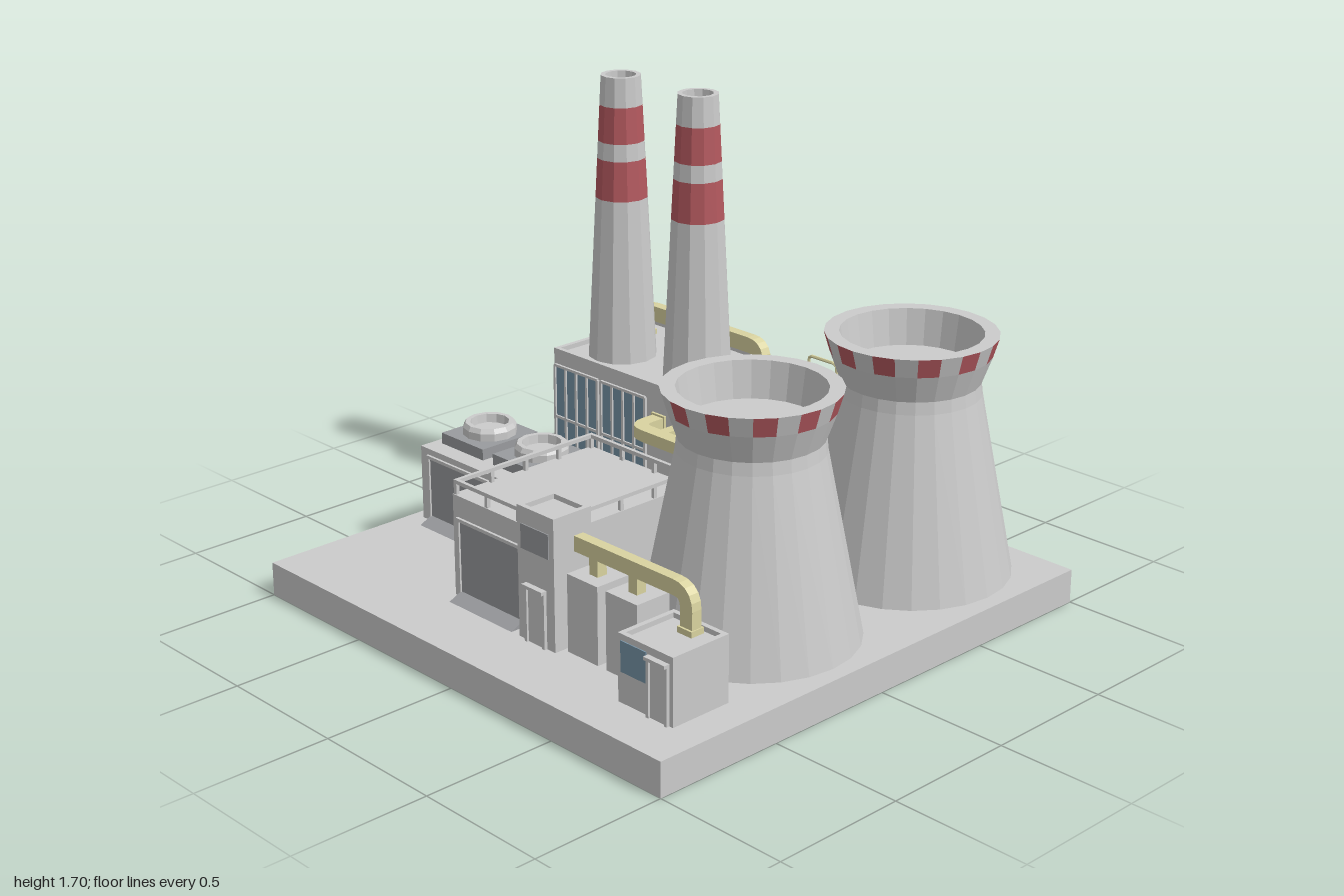
import * as THREE from 'three';

const mat = (color) => new THREE.MeshStandardMaterial({ color, flatShading: true, side: THREE.DoubleSide });
const GREY = mat(0xcccccc), DARK = mat(0x999b9e), LIGHT = mat(0xdedcda);
const RED = mat(0xb4595f), YELLOW = mat(0xd9d3a0), BLUE = mat(0x7895a8);
const GROUND = 0.125;

function add(parent, name, geometry, material = GREY, x = 0, y = 0, z = 0) {
  const m = new THREE.Mesh(geometry, material);
  m.name = name;
  m.position.set(x, y, z);
  parent.add(m);
  return m;
}
function group(parent, name, x = 0, y = 0, z = 0) {
  const g = new THREE.Group();
  g.name = name;
  g.position.set(x, y, z);
  parent.add(g);
  return g;
}
// Box given by its limits on each axis
function box(parent, name, x0, x1, y0, y1, z0, z1, material = GREY) {
  return add(parent, name, new THREE.BoxGeometry(x1 - x0, y1 - y0, z1 - z0), material,
    (x0 + x1) / 2, (y0 + y1) / 2, (z0 + z1) / 2);
}
const lathe = (pts, sides, start = 0, len = Math.PI * 2) =>
  new THREE.LatheGeometry(pts.map(([r, y]) => new THREE.Vector2(r, y)), sides, start, len);

// Building block with a raised rim around a flat roof
function block(parent, name, x0, x1, top, z0, z1, rim = 0.018) {
  const g = group(parent, name);
  box(g, 'walls', x0, x1, GROUND, top - rim, z0, z1);
  for (const [a, b] of [[z0, z0 + rim], [z1 - rim, z1]]) box(g, 'roofRim', x0, x1, top - rim, top, a, b);
  for (const [a, b] of [[x0, x0 + rim], [x1 - rim, x1]]) box(g, 'roofRim', a, b, top - rim, top, z0 + rim, z1 - rim);
  return g;
}

// Square duct along a flat path with rounded corners
function ductGeometry(path, width, depth, radius = 0.05) {
  const p = path.map(([x, y]) => new THREE.Vector2(x, y));
  const line = [p[0]];
  for (let i = 1; i < p.length - 1; i++) {
    const a = p[i - 1].clone().sub(p[i]).setLength(radius).add(p[i]);
    const b = p[i + 1].clone().sub(p[i]).setLength(radius).add(p[i]);
    line.push(...new THREE.QuadraticBezierCurve(a, p[i], b).getPoints(5));
  }
  line.push(p[p.length - 1]);
  const left = [], right = [];
  line.forEach((q, i) => {
    const t = line[Math.min(i + 1, line.length - 1)].clone().sub(line[Math.max(i - 1, 0)]).setLength(width / 2);
    left.push(new THREE.Vector2(q.x - t.y, q.y + t.x));
    right.unshift(new THREE.Vector2(q.x + t.y, q.y - t.x));
  });
  return new THREE.ExtrudeGeometry(new THREE.Shape([...left, ...right]), { depth, bevelEnabled: false })
    .translate(0, 0, -depth / 2);
}

// Glazed bay facing +z, centred on x = 0
function windowBay(parent, x, z, angle, width, y0, y1) {
  const g = group(parent, 'windowBay', x, 0, z);
  g.rotation.y = angle;
  const h = width / 2, t = 0.005, mid = (y0 + y1) / 2;
  box(g, 'glass', -h, h, y0, y1, -0.005, 0.003, BLUE);
  for (let i = 0; i <= 4; i++) {
    const mx = -h + (i * width) / 4;
    box(g, 'mullion', mx - t, mx + t, y0, y1, 0, 0.01);
  }
  for (const y of y1 - y0 > 0.25 ? [y0, mid, y1] : [y0, y1])
    box(g, 'transom', -h, h, y - t, y + t, 0, 0.01);
}

// Door with frame and canopy facing +z
function door(parent, x, z, angle, width, top) {
  const g = group(parent, 'door', x, 0, z), h = width / 2;
  g.rotation.y = angle;
  box(g, 'doorLeaf', -h + 0.012, h - 0.012, GROUND, top - 0.012, -0.005, 0.004, LIGHT);
  for (const s of [-1, 1]) box(g, 'doorFrame', s * (h - 0.006) - 0.006, s * (h - 0.006) + 0.006, GROUND, top, 0, 0.012);
  box(g, 'canopy', -h, h, top - 0.012, top, 0, 0.022);
}

// Roller gate with a low ramp in front
function gate(parent, x0, x1, top, z) {
  const g = group(parent, 'gate');
  box(g, 'gatePanel', x0, x1, GROUND, top, z - 0.01, z + 0.003, DARK);
  box(g, 'gateLintel', x0 - 0.01, x1 + 0.01, top, top + 0.012, z, z + 0.01);
  for (const x of [x0, x1]) box(g, 'gateJamb', x - 0.01, x + 0.005, GROUND, top, z, z + 0.01);
  const wedge = new THREE.Shape([new THREE.Vector2(0, 0), new THREE.Vector2(-0.055, 0), new THREE.Vector2(0, 0.025)]);
  const ramp = add(g, 'ramp', new THREE.ExtrudeGeometry(wedge, { depth: x1 - x0, bevelEnabled: false }), DARK, x0, GROUND, z);
  ramp.rotation.y = Math.PI / 2;
}

function coolingTower(parent, x, z) {
  const g = group(parent, 'coolingTower', x, 0, z), n = 24, step = (Math.PI * 2) / n;
  add(g, 'towerShell', lathe([[0.38, GROUND], [0.25, 0.785], [0.245, 0.83], [0.281, 0.93]], n));
  for (let i = 0; i < n; i++)
    add(g, 'rimPanel', lathe([[0.281, 0.93], [0.302, 1]], 1, i * step, step), i % 2 ? RED : GREY);
  add(g, 'towerMouth', lathe([[0.302, 1], [0.25, 1], [0.23, 0.87], [0, 0.87]], n));
}

function chimney(parent, x, z) {
  const g = group(parent, 'chimney', x, 0, z);
  const y = [0.6, 1.235, 1.385, 1.45, 1.585, 1.695];
  const r = (h) => 0.131 - (h - 0.63) * 0.052;
  for (let i = 0; i < 5; i++)
    add(g, i % 2 ? 'warningBand' : 'shaft', lathe([[r(y[i]), y[i]], [r(y[i + 1]), y[i + 1]]], 12), i % 2 ? RED : GREY);
  add(g, 'chimneyMouth', lathe([[r(1.695), 1.695], [0.057, 1.695], [0.054, 1.63], [0, 1.63]], 12));
}

function storageTank(parent, x, z) {
  const g = group(parent, 'storageTank', x, 0, z);
  add(g, 'tankBody', lathe([[0.095, GROUND], [0.095, 0.645], [0.075, 0.67], [0.04, 0.69], [0, 0.7]], 16), YELLOW);
  const pts = [[0, 0.69], [0, 0.725], [0.012, 0.735], [0.125, 0.735], [0.137, 0.725], [0.137, GROUND]];
  const path = new THREE.CurvePath();
  for (let i = 1; i < pts.length; i++)
    path.add(new THREE.LineCurve3(new THREE.Vector3(...pts[i - 1], 0), new THREE.Vector3(...pts[i], 0)));
  add(g, 'ventPipe', new THREE.TubeGeometry(path, 60, 0.006, 6), YELLOW);
}

function roofFan(parent, x, z) {
  const g = group(parent, 'roofFan', x, 0, z);
  box(g, 'fanBase', -0.117, 0.117, 0.41, 0.452, -0.128, 0.132, DARK);
  add(g, 'fanRing', lathe([[0.1, 0.452], [0.1, 0.48], [0.09, 0.497], [0.072, 0.497], [0.068, 0.465], [0, 0.465]], 12));
}

function railing(parent, x0, x1, z0, z1, y0, y1) {
  const g = group(parent, 'railing'), t = 0.007;
  for (const z of [z0, z1]) box(g, 'handrail', x0 - t, x1 + t, y1 - 2 * t, y1, z - t, z + t);
  for (const x of [x0, x1]) box(g, 'handrail', x - t, x + t, y1 - 2 * t, y1, z0, z1);
  const post = (x, z) => box(g, 'railPost', x - t, x + t, y0, y1 - t, z - t, z + t);
  for (let i = 0; i <= 3; i++) for (const z of [z0, z1]) post(x0 + ((x1 - x0) * i) / 3, z);
  for (let i = 1; i < 4; i++) for (const x of [x0, x1]) post(x, z0 + ((z1 - z0) * i) / 4);
}

export function createModel() {
  const plant = new THREE.Group();
  plant.name = 'powerPlant';
  box(plant, 'groundSlab', -1, 1, 0, GROUND, -1, 1);

  for (const z of [-0.605, 0.175]) coolingTower(plant, 0.562, z);

  // Turbine hall with chimneys
  const hall = block(plant, 'turbineHall', -0.955, -0.175, 0.63, -0.82, -0.3);
  for (let i = 0; i < 3; i++) {
    const x = -0.825 + i * 0.26;
    if (i < 2) windowBay(hall, x, -0.3, 0, 0.24, 0.15, 0.565);
    windowBay(hall, x, -0.82, Math.PI, 0.24, i === 2 ? 0.36 : 0.15, 0.565);
  }
  for (const z of [-0.685, -0.435]) {
    windowBay(hall, -0.955, z, -Math.PI / 2, 0.23, 0.15, 0.565);
    windowBay(hall, -0.175, z, Math.PI / 2, 0.23, 0.15, 0.565);
  }
  door(hall, -0.3, -0.82, Math.PI, 0.095, 0.325);
  for (const x of [-0.765, -0.36]) chimney(plant, x, -0.48);
  add(plant, 'roofDuct', ductGeometry([[-0.875, 0.6], [-0.875, 0.713], [-0.25, 0.713], [-0.25, 0.6]], 0.06, 0.042),
    YELLOW, 0, 0, -0.705);
  for (const x of [-0.875, -0.25]) box(plant, 'ductFlange', x - 0.035, x + 0.035, 0.612, 0.632, -0.732, -0.678, YELLOW);

  for (const z of [-0.72, -0.455]) storageTank(plant, -0.022, z);

  // Steam main from the hall to the cooling towers
  add(plant, 'steamMain', ductGeometry([[-0.372, -0.31], [-0.372, -0.18], [0.3, -0.18]], 0.055, 0.045, 0.06),
    YELLOW, 0, 0.49, 0).rotation.x = Math.PI / 2;
  box(plant, 'steamBranch', -0.27, -0.228, 0.468, 0.512, -0.31, -0.18, YELLOW);
  for (const x of [-0.372, -0.249]) box(plant, 'wallFlange', x - 0.035, x + 0.035, 0.46, 0.52, -0.305, -0.29, YELLOW);
  box(plant, 'towerFeed', 0.27, 0.322, 0.467, 0.513, -0.49, 0.07, YELLOW);
  box(plant, 'feedSupport', 0.276, 0.316, GROUND, 0.47, -0.2, -0.16, YELLOW);

  // Cooling annex with roof fans
  const annex = group(plant, 'fanAnnex');
  box(annex, 'walls', -0.95, -0.345, GROUND, 0.41, 0.05, 0.357);
  gate(annex, -0.9, -0.39, 0.375, 0.357);
  for (const x of [-0.797, -0.507]) roofFan(annex, x, 0.155);

  // Workshop with roof railing
  const workshop = group(plant, 'workshop');
  box(workshop, 'walls', -0.345, 0.163, GROUND, 0.5, 0.06, 0.695);
  gate(workshop, -0.312, 0.015, 0.41, 0.695);
  railing(workshop, -0.335, 0.153, 0.07, 0.685, 0.5, 0.553);

  // Stair tower
  const stair = block(plant, 'stairTower', 0.055, 0.235, 0.6, 0.585, 0.748);
  box(stair, 'towerWindow', 0.075, 0.212, 0.452, 0.54, 0.74, 0.752, DARK);
  door(stair, 0.145, 0.748, 0, 0.1, 0.335);

  // Transformer cabinets and overhead duct
  for (const x of [0.328, 0.514]) {
    box(plant, 'cabinet', x - 0.073, x + 0.073, GROUND, 0.405, 0.568, 0.71);
    box(plant, 'cabinetRiser', x - 0.02, x + 0.02, 0.4, 0.47, 0.62, 0.66, YELLOW);
  }
  add(plant, 'overheadDuct', ductGeometry([[0.23, 0.49], [0.758, 0.49], [0.758, 0.35]], 0.055, 0.04, 0.06), YELLOW, 0, 0, 0.64);
  box(plant, 'ductFlange', 0.725, 0.79, 0.345, 0.368, 0.612, 0.668, YELLOW);

  // Control house
  const control = block(plant, 'controlHouse', 0.625, 0.873, 0.365, 0.585, 0.827);
  box(control, 'controlWindow', 0.64, 0.755, 0.235, 0.343, 0.82, 0.831, BLUE);
  door(control, 0.81, 0.827, 0, 0.094, 0.338);

  return plant;
}
